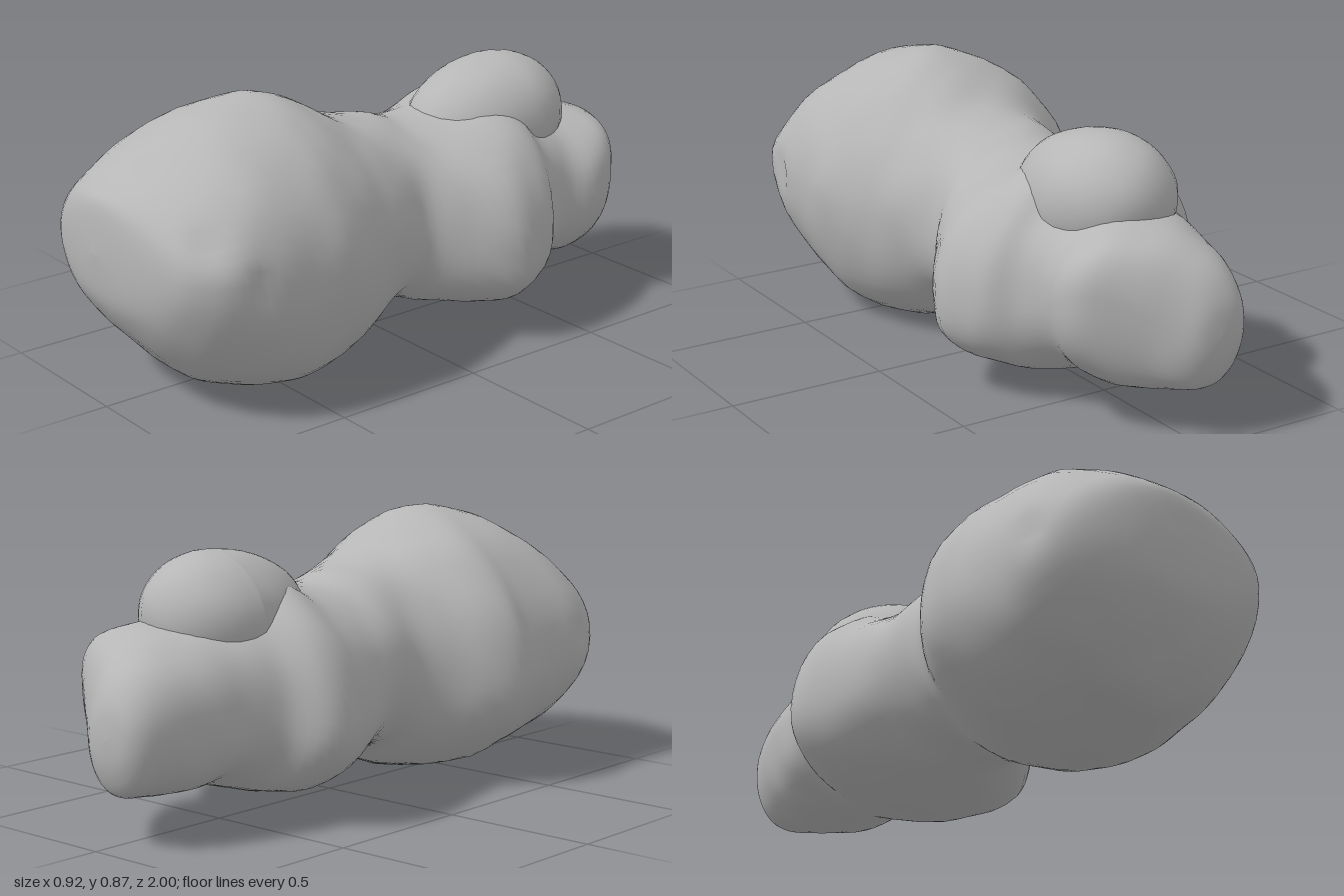
import * as THREE from 'three';

// Outline of the body along its length: z, x min, x max, y min, y max
const OUTLINE = [
  [0.998, -0.04, -0.04, 0.47, 0.47],
  [0.985, -0.18, 0.16, 0.34, 0.61],
  [0.95, -0.30, 0.32, 0.26, 0.66],
  [0.88, -0.385, 0.405, 0.165, 0.71],
  [0.78, -0.425, 0.45, 0.07, 0.775],
  [0.66, -0.425, 0.455, 0.03, 0.84],
  [0.50, -0.44, 0.45, 0.0, 0.867],
  [0.40, -0.465, 0.435, 0.0, 0.855],
  [0.30, -0.42, 0.40, 0.02, 0.81],
  [0.20, -0.335, 0.365, 0.055, 0.755],
  [0.10, -0.285, 0.325, 0.115, 0.725],
  [0.0, -0.29, 0.295, 0.115, 0.705],
  [-0.10, -0.32, 0.36, 0.09, 0.675],
  [-0.24, -0.37, 0.445, 0.07, 0.69],
  [-0.35, -0.40, 0.42, 0.06, 0.73],
  [-0.43, -0.375, 0.385, 0.075, 0.715],
  [-0.50, -0.29, 0.32, 0.095, 0.67],
  [-0.60, -0.255, 0.285, 0.125, 0.635],
  [-0.70, -0.235, 0.31, 0.12, 0.62],
  [-0.79, -0.215, 0.28, 0.125, 0.605],
  [-0.88, -0.19, 0.17, 0.14, 0.565],
  [-0.95, -0.165, 0.08, 0.16, 0.50],
  [-0.99, -0.12, 0.02, 0.24, 0.42],
  [-1.0, -0.05, -0.05, 0.33, 0.33],
];

// Skew of the cross-section: z, x of top, x of bottom, y of right side, y of left side,
// roundness above, roundness below (smaller is boxier)
const SKEW = [
  [1, -0.04, -0.04, 0.47, 0.47, 1, 0.95],
  [0.85, 0, 0.06, 0.42, 0.47, 1.02, 0.97],
  [0.5, 0.02, 0.13, 0.36, 0.43, 1.08, 0.97],
  [0.05, 0, 0.03, 0.4, 0.4, 0.98, 0.95],
  [-0.3, 0, 0.05, 0.32, 0.29, 1, 0.88],
  [-0.6, 0, 0.04, 0.36, 0.38, 0.87, 0.87],
  [-0.8, 0.05, 0.02, 0.35, 0.45, 0.87, 0.9],
  [-1, -0.05, -0.05, 0.33, 0.33, 0.95, 0.95],
];

// Shallow pits: x, y, z, radius, depth
const PITS = [
  [0.37, 0.59, 0.88, 0.07, 0.02],
  [0.45, 0.45, 0.74, 0.06, 0.02],
  [-0.41, 0.45, 0.8, 0.07, 0.02],
  [0.42, 0.28, -0.24, 0.05, 0.02],
];

const clamp = THREE.MathUtils.clamp;

function outlineAt(t) {
  const i = Math.min(Math.floor(t), OUTLINE.length - 2), f = t - i;
  const row = (k) => OUTLINE[clamp(k, 0, OUTLINE.length - 1)];
  return row(i).map((p1, c) => {
    const p0 = row(i - 1)[c], p2 = row(i + 1)[c], p3 = row(i + 2)[c];
    return p1 + 0.5 * f * (p2 - p0 + f * (2 * p0 - 5 * p1 + 4 * p2 - p3 + f * (3 * (p1 - p2) + p3 - p0)));
  });
}

function skewAt(z) {
  let i = 0;
  while (i < SKEW.length - 2 && z < SKEW[i + 1][0]) i++;
  const a = SKEW[i], b = SKEW[i + 1];
  const f = THREE.MathUtils.smoothstep(a[0] - z, 0, a[0] - b[0]);
  return a.map((v, c) => v + (b[c] - v) * f);
}

// Gentle, repeatable unevenness
const ripple = (x, y, z) =>
  0.004 * (Math.sin(17 * x + 9 * z) * Math.sin(15 * y - 7 * z + 1) + 0.6 * Math.sin(31 * z + 13 * y) * Math.sin(27 * x + 2));

function bodyGeometry() {
  const around = 48, steps = 4, rows = (OUTLINE.length - 1) * steps;
  const pos = [], index = [];
  for (let r = 0; r <= rows; r++) {
    const [z, xMin, xMax, yMin, yMax] = outlineAt(r / steps);
    const [, topX, bottomX, rightY, leftY, above, below] = skewAt(z);
    const midX = (xMin + xMax) / 2, halfX = (xMax - xMin) * 0.35;
    const midY = (yMin + yMax) / 2, halfY = (yMax - yMin) * 0.3;
    const fitX = (v) => clamp(v, midX - halfX, midX + halfX);
    const fitY = (v) => clamp(v, midY - halfY, midY + halfY);
    const end = r === 0 || r === rows;
    for (let s = 0; s < around; s++) {
      const a = (s / around) * Math.PI * 2, c = Math.cos(a), n = Math.sin(a);
      const e = n >= 0 ? above : below;
      const cx = Math.pow(Math.abs(c), e), sy = Math.pow(Math.abs(n), e);
      const x0 = fitX(n >= 0 ? topX : bottomX), y0 = fitY(c >= 0 ? leftY : rightY);
      let x = x0 + ((c >= 0 ? xMax : xMin) - x0) * cx;
      let y = y0 + ((n >= 0 ? yMax : yMin) - y0) * sy;
      if (!end) {
        let push = ripple(x, y, z);
        for (const [px, py, pz, rad, depth] of PITS) {
          const d = Math.hypot(x - px, y - py, z - pz) / rad;
          push -= depth * Math.exp(-d * d * 2);
        }
        x += c * push;
        y += n * push;
      }
      pos.push(x, Math.max(y, 0), z);
      if (r < rows) {
        const p = r * around + s, q = r * around + ((s + 1) % around);
        index.push(p, p + around, q, q, p + around, q + around);
      }
    }
  }
  const geo = new THREE.BufferGeometry();
  geo.setAttribute('position', new THREE.Float32BufferAttribute(pos, 3));
  geo.setIndex(index);
  geo.computeVertexNormals();
  return geo;
}

// Rounded boulder, short and steep at the back, long towards the waist
function knobGeometry() {
  const geo = new THREE.SphereGeometry(1, 32, 24);
  const p = geo.attributes.position;
  for (let i = 0; i < p.count; i++) {
    const x = p.getX(i), y = p.getY(i), z = p.getZ(i);
    const w = 1 + ripple(x / 3, y / 3, z / 3) * 2;
    p.setXYZ(i, x * 0.215 * w, y * 0.2 * w, z * (z > 0 ? 0.33 : 0.235) * w - y * 0.015);
  }
  geo.computeVertexNormals();
  return geo;
}

export function createModel() {
  const group = new THREE.Group();
  group.name = 'asteroid';
  const rock = new THREE.MeshStandardMaterial({ color: 0xb6b6b6 });
  rock.name = 'grey rock';

  const body = new THREE.Mesh(bodyGeometry(), rock);
  body.name = 'lumpyBody';

  const knob = new THREE.Mesh(knobGeometry(), rock);
  knob.name = 'topBoulder';
  knob.position.set(0.015, 0.62, -0.5);

  group.add(body, knob);
  return group;
}
